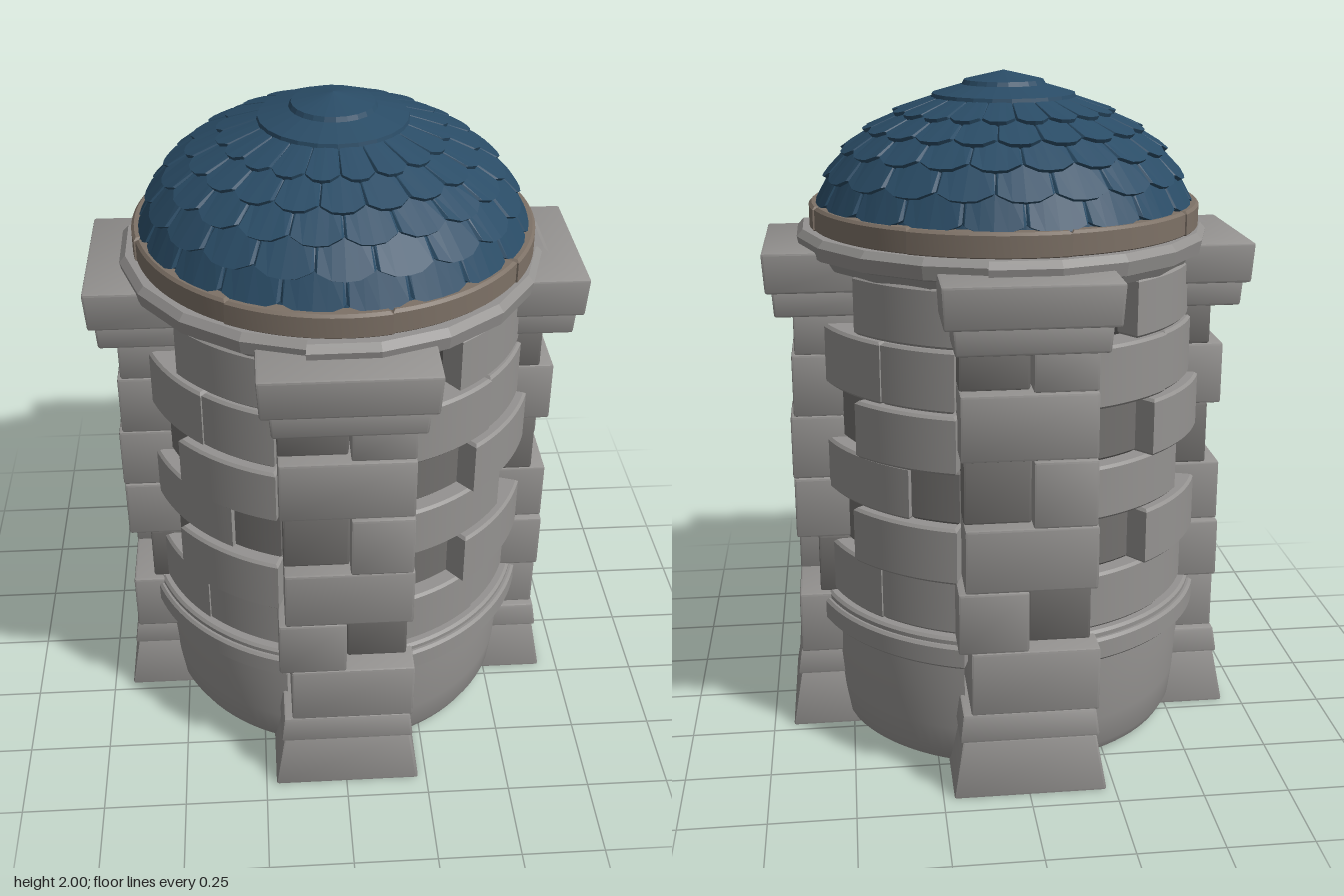
import * as THREE from 'three';
import { toCreasedNormals } from 'three/addons/utils/BufferGeometryUtils.js';
import { RoundedBoxGeometry } from 'three/addons/geometries/RoundedBoxGeometry.js';

const stone = new THREE.MeshStandardMaterial({ color: 0x949290 });
const shadedStone = new THREE.MeshStandardMaterial({ color: 0x72706e });
const innerStone = new THREE.MeshStandardMaterial({ color: 0x3c3b3a, side: THREE.DoubleSide });
const wood = new THREE.MeshStandardMaterial({ color: 0x7d7166 });
const slate = new THREE.MeshStandardMaterial({ color: 0x2a4c66, flatShading: true });
const rad = THREE.MathUtils.degToRad;

function add(parent, name, geometry, material) {
  const mesh = new THREE.Mesh(geometry, material);
  mesh.name = name;
  parent.add(mesh);
  return mesh;
}

// Bevelled stone; the top can be narrowed in x and pulled in at the outer z face
function block(x0, x1, y0, y1, z0, z1, topScale = 1, topInset = 0) {
  const w = x1 - x0, h = y1 - y0, d = z1 - z0;
  const geo = new RoundedBoxGeometry(w, h, d, 1, 0.007);
  const p = geo.attributes.position;
  for (let i = 0; i < p.count; i++) {
    const t = p.getY(i) / h + 0.5;
    p.setX(i, p.getX(i) * (1 + (topScale - 1) * t));
    if (p.getZ(i) > 0) p.setZ(i, p.getZ(i) - topInset * t);
  }
  geo.translate((x0 + x1) / 2, (y0 + y1) / 2, (z0 + z1) / 2);
  return toCreasedNormals(geo.index ? geo.toNonIndexed() : geo, 0.5);
}

// Curved stone between two azimuths in degrees (0 = front, 90 = +x)
function arcBlock(r0, r1, deg0, deg1, y0, y1) {
  const b = 0.008;
  const a0 = rad(deg0 - 90) + b / r1, a1 = rad(deg1 - 90) - b / r1;
  const shape = new THREE.Shape();
  shape.absarc(0, 0, r1 - b, a0, a1, false);
  shape.absarc(0, 0, r0 + b, a1, a0, true);
  const geo = new THREE.ExtrudeGeometry(shape, {
    depth: y1 - y0 - 2 * b, bevelThickness: b, bevelSize: b, bevelSegments: 1, curveSegments: 10,
  });
  geo.rotateX(-Math.PI / 2).translate(0, y0 + b, 0);
  return toCreasedNormals(geo, 0.5);
}

function lathe(points, segments, deg0 = 0, span = 360) {
  const geo = new THREE.LatheGeometry(points.map(([r, y]) => new THREE.Vector2(r, y)), segments, rad(deg0), rad(span));
  return toCreasedNormals(geo, 0.4);
}

function makePier() {
  const pier = new THREE.Group();
  pier.name = 'pier';
  add(pier, 'pierBase', block(-0.22, 0.225, 0, 0.17, 0.22, 0.69, 0.87, 0.03), stone);
  add(pier, 'pierPlinth', block(-0.2, 0.205, 0.168, 0.25, 0.24, 0.67, 0.95, 0.012), stone);
  // x0, x1, y0, y1, outer face, material
  const bricks = [
    [-0.165, 0.205, 0.245, 0.44, 0.655, stone],
    [-0.2, 0, 0.44, 0.625, 0.655, stone], [0.005, 0.185, 0.44, 0.625, 0.59, shadedStone],
    [-0.18, 0.195, 0.625, 0.815, 0.655, stone],
    [-0.18, 0.01, 0.815, 1.01, 0.61, shadedStone], [0.01, 0.19, 0.815, 1.01, 0.658, stone],
    [-0.19, 0.19, 1.01, 1.2, 0.648, stone],
    [-0.19, 0.005, 1.2, 1.325, 0.605, shadedStone], [0.01, 0.19, 1.2, 1.325, 0.638, stone],
  ];
  for (const [x0, x1, y0, y1, z, mat] of bricks) add(pier, 'pierBrick', block(x0, x1, y0, y1, 0.3, z), mat);
  add(pier, 'pierCapLower', block(-0.205, 0.21, 1.32, 1.4, 0.3, 0.69, 1.03, -0.005), stone);
  add(pier, 'pierCapUpper', block(-0.235, 0.235, 1.395, 1.515, 0.3, 0.712, 1.03, -0.007), stone);
  return pier;
}

function makeWall(filled) {
  const wall = new THREE.Group();
  wall.name = 'curvedWall';
  add(wall, 'wallFoot', lathe([[0.36, 0.36], [0.36, 0.04], [0.5, 0.008], [0.535, 0.012], [0.55, 0.04],
    [0.56, 0.13], [0.567, 0.26], [0.565, 0.36]], 14, 18, 54), stone);
  add(wall, 'wallBand', arcBlock(0.42, 0.61, 17, 73, 0.355, 0.425), stone);
  add(wall, 'wallBandTop', arcBlock(0.42, 0.595, 18, 72, 0.41, 0.445), stone);
  // start angle, end angle, y0, y1, outer radius, material
  const bricks = [
    [19, 45, 0.445, 0.615, 0.575, stone], [45, 70, 0.445, 0.615, 0.57, stone],
    [19, 38, 0.615, 0.785, 0.53, shadedStone], [37, 71, 0.615, 0.785, 0.602, stone],
    [19, 56, 0.785, 0.945, 0.58, stone],
    [19, 39, 0.945, 1.115, 0.535, shadedStone], [39, 71, 0.945, 1.115, 0.602, stone],
    [19, 47, 1.115, 1.295, 0.58, stone], [47, 70, 1.115, 1.295, 0.575, stone],
    [35, 71, 1.295, 1.465, 0.565, stone],
  ];
  if (filled) bricks.push([56, 71, 0.785, 0.945, 0.565, shadedStone]);
  for (const [a0, a1, y0, y1, r, mat] of bricks) add(wall, 'wallBrick', arcBlock(0.42, r, a0, a1, y0, y1), mat);
  return wall;
}

// Quarter of the cornice, drawing in slightly from one end to the other
function makeCornice() {
  const n = 5;
  const profile = [[0.46, 1.455], [0.565, 1.46], [0.58, 1.485], [0.61, 1.495], [0.618, 1.535], [0.6, 1.555], [0.46, 1.555]];
  const geo = new THREE.LatheGeometry(profile.map(([r, y]) => new THREE.Vector2(r, y)), n, rad(-10), rad(91));
  const p = geo.attributes.position;
  for (let i = 0; i < p.count; i++) {
    const k = 1.02 - 0.035 * Math.floor(i / profile.length) / n;
    p.setXYZ(i, p.getX(i) * k, p.getY(i), p.getZ(i) * k);
  }
  return toCreasedNormals(geo, 0.2);
}

// Dome profile, from the crown down to the eaves
const domeCurve = new THREE.SplineCurve([[0.2, 1.925], [0.345, 1.86], [0.455, 1.785], [0.525, 1.69], [0.55, 1.615]]
  .map(([r, y]) => new THREE.Vector2(r, y)));

function domePoint(s, phi, offset) {
  const t = Math.min(Math.max(s, 0), 1);
  const p = domeCurve.getPointAt(t), g = domeCurve.getTangentAt(t);
  const r = p.x - g.y * offset, y = p.y + g.x * offset;
  return [r * Math.sin(phi), y, r * Math.cos(phi)];
}

// Ring of scalloped shingles with sunken seams and a thick lower lip
function shingleRing(s0, s1, shift) {
  const tiles = 20, sub = 6, n = tiles * sub;
  const drop = [-0.05, -0.035, 0.002, 0.008, 0.002, -0.035];
  const lift = [0.004, 0.014, 0.016, 0.017, 0.016, 0.014];
  const pos = [], index = [];
  for (let i = 0; i <= n; i++) {
    // columns bunch toward the seams so that the seams stay narrow
    const k = i % sub, u = [0, 0.05, 0.28, 0.5, 0.72, 0.95][k];
    const phi = ((Math.floor(i / sub) + u + shift) / tiles) * Math.PI * 2;
    const low = s1 + drop[k];
    pos.push(...domePoint(s0, phi, lift[k] * 0.25), ...domePoint(low, phi, lift[k]), ...domePoint(low, phi, -0.008));
    if (i === n) break;
    for (let j = 0; j < 2; j++) {
      const a = i * 3 + j, b = a + 1, c = a + 4, d = a + 3;
      index.push(a, b, c, a, c, d);
    }
  }
  const geo = new THREE.BufferGeometry();
  geo.setAttribute('position', new THREE.Float32BufferAttribute(pos, 3));
  geo.setIndex(index);
  geo.computeVertexNormals();
  return geo;
}

export function createModel() {
  const tower = new THREE.Group();
  tower.name = 'domedTower';

  // Four sides; every other wall has one gap filled
  for (let q = 0; q < 4; q++) {
    const side = new THREE.Group();
    side.name = 'towerSide';
    side.rotation.y = q * Math.PI / 2;
    side.add(makePier(), makeWall(q % 2 === 1));
    add(side, 'cornice', makeCornice(), stone);
    tower.add(side);
  }

  // Recessed inner wall and the slab under the dome
  const core = add(tower, 'innerWall', new THREE.CylinderGeometry(0.49, 0.49, 1.15, 40, 1, true), innerStone);
  core.position.y = 0.9;
  const slab = add(tower, 'roofSlab', new THREE.CylinderGeometry(0.55, 0.55, 0.09, 40), innerStone);
  slab.position.y = 1.51;

  // Wooden ring in eight curved lengths
  for (let i = 0; i < 8; i++) {
    add(tower, 'eavesRing', arcBlock(0.48, i % 2 ? 0.583 : 0.578, i * 45 + 12, i * 45 + 57, 1.55, 1.625), wood);
  }

  // Dome
  const under = domeCurve.getSpacedPoints(16).reverse().map((p) => [p.x - 0.004, p.y - 0.003]);
  add(tower, 'domeShell', lathe(under, 40), slate);
  const rows = [0, 0.27, 0.47, 0.65, 0.83, 1];
  for (let i = 0; i < 5; i++) {
    add(tower, 'shingleRow', shingleRing(rows[i] - 0.06, rows[i + 1], (i % 2) / 2), slate);
  }
  add(tower, 'domeCrown', lathe([[0.2, 1.905], [0.217, 1.915], [0.212, 1.935], [0.125, 1.96], [0.118, 1.973], [0, 2]], 24), slate);

  return tower;
}
